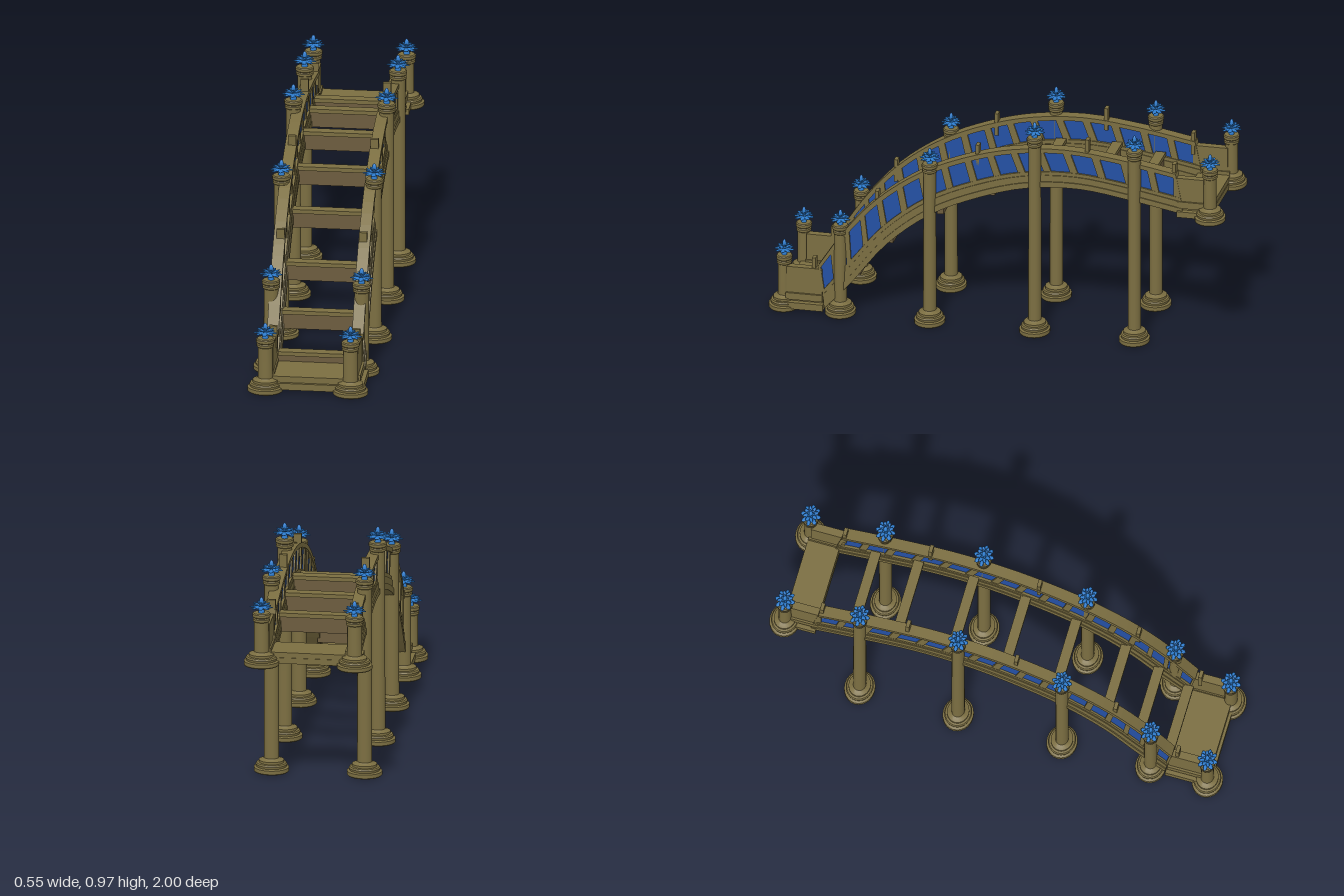
import * as THREE from 'three';
import { mergeGeometries, toCreasedNormals } from 'three/addons/utils/BufferGeometryUtils.js';

const mat = (name, color) => {
  const m = new THREE.MeshStandardMaterial({ color });
  m.name = name;
  return m;
};

// Matching top and bottom edges of the arched side walls, as [z, y]
const curve = pts => new THREE.CatmullRomCurve3(pts.map(([z, y]) => new THREE.Vector3(0, y, z)));
const topEdge = curve([[.78, .215], [.655, .40], [.515, .555], [.33, .69], [.13, .78], [-.07, .835], [-.30, .855], [-.555, .83], [-.785, .79]]);
const bottomEdge = curve([[.75, .025], [.64, .145], [.48, .345], [.29, .50], [.08, .60], [-.135, .665], [-.365, .682], [-.60, .65], [-.82, .61]]);
const wallPoint = (u, v) => bottomEdge.getPoint(u).lerp(topEdge.getPoint(u), v);

// Solid strip of the arch: u runs along it, v up it, x across it
function archStrip(u0, u1, v0, v1, x0, x1, steps) {
  const pos = [];
  const quad = (a, b, c, d) => [a, b, c, a, c, d].forEach(p => pos.push(p.x, p.y, p.z));
  const ring = i => {
    const u = u0 + (u1 - u0) * i / steps;
    return [[x0, v0], [x1, v0], [x1, v1], [x0, v1]].map(([x, v]) => wallPoint(u, v).setX(x));
  };
  let near = ring(0);
  quad(...near);
  for (let i = 1; i <= steps; i++) {
    const far = ring(i);
    for (let k = 0; k < 4; k++) {
      const n = (k + 1) % 4;
      quad(near[k], far[k], far[n], near[n]);
    }
    near = far;
  }
  quad(near[3], near[2], near[1], near[0]);
  const g = new THREE.BufferGeometry();
  g.setAttribute('position', new THREE.Float32BufferAttribute(pos, 3));
  g.computeVertexNormals();
  return g;
}

// Column with stepped base and collared cap
function columnGeometry(h) {
  const profile = [
    [0, 0], [.063, 0], [.066, .004], [.066, .02], [.057, .024], [.059, .034], [.055, .04],
    [.047, .042], [.047, .052], [.035, .056], [.028, .062],
    [.027, h - .04], [.032, h - .036], [.032, h - .026], [.028, h - .022],
    [.034, h - .016], [.034, h - .004], [.03, h], [0, h]
  ].map(p => new THREE.Vector2(...p));
  const g = toCreasedNormals(new THREE.LatheGeometry(profile, 24), .6);
  return g.scale(1.15, 1, 1);
}

// Flower: two rings of flat pointed petals around a bud
function flowerGeometry() {
  const parts = [];
  const petals = (count, length, y, tilt, turn) => {
    for (let i = 0; i < count; i++) {
      const p = new THREE.SphereGeometry(1, 6, 4);
      p.scale(length * .24, length / 2, .003).translate(0, length / 2, 0);
      p.rotateX(Math.PI / 2 - tilt).rotateY(turn + i * Math.PI * 2 / count).translate(0, y, 0);
      parts.push(p);
    }
  };
  petals(8, .045, .006, 0, 0);
  petals(8, .036, .012, .3, Math.PI / 8);
  petals(6, .024, .016, .7, 0);
  parts.push(new THREE.SphereGeometry(1, 8, 6).scale(.009, .021, .009).translate(0, .03, 0));
  parts.push(new THREE.CylinderGeometry(.009, .012, .026, 8).translate(0, -.006, 0));
  return mergeGeometries(parts).scale(1.15, 1, 1);
}

export function createModel() {
  const model = new THREE.Group();
  model.name = 'archedBridge';
  const stone = mat('olive stone', 0x7b6e41);
  const riser = mat('brown riser', 0x6c5c3e);
  const panelBlue = mat('deep blue panel', 0x2450a4);
  const flowerBlue = mat('flower blue', 0x2f7fd2);

  const add = (name, geometry, material, x = 0, y = 0, z = 0) => {
    const m = new THREE.Mesh(geometry, material);
    m.name = name;
    m.position.set(x, y, z);
    model.add(m);
    return m;
  };
  const box = (name, w, h, d, x, y, z, material = stone) =>
    add(name, new THREE.BoxGeometry(w, h, d), material, x, y, z);

  // Columns and flowers: [z, base y, top y, right x, left x]
  const flower = flowerGeometry();
  [
    [.935, 0, .24, -.197, .168],
    [.685, 0, .41, -.2, .188],
    [.292, 0, .735, -.2, .198],
    [-.168, 0, .90, -.2, .2],
    [-.604, 0, .88, -.2, .2],
    [-.935, .59, .825, -.2, .2]
  ].forEach(([z, base, top, xr, xl]) => {
    const g = columnGeometry(top - base);
    for (const x of [xr, xl]) {
      add('column', g, stone, x, base, z);
      add('flower', flower, flowerBlue, x, top + .018, z);
    }
  });

  // Arched side walls
  const PANELS = 16;
  for (const s of [-1, 1]) {
    const strip = (name, u0, u1, v0, v1, inner, outer, steps, material = stone) => {
      const [a, b] = s > 0 ? [inner, outer] : [-outer, -inner];
      add(name, archStrip(u0, u1, v0, v1, a, b, steps), material);
    };
    strip('lowerMoulding', 0, 1, 0, .14, .150, .212, 32);
    strip('stringer', 0, 1, .14, .30, .154, .207, 32);
    strip('upperMoulding', 0, 1, .30, .39, .158, .203, 32);
    strip('topRail', 0, 1, .89, 1, .157, .207, 32);
    for (let i = 0; i < PANELS; i++) {
      const u = i / PANELS, w = 1 / PANELS;
      strip('bluePanel', u + w * .14, u + w * .86, .39, .89, .169, .194, 2, panelBlue);
      strip('slat', u - (i ? w * .14 : 0), u + w * .14, .39, .89, .162, .202, 2);
    }
    strip('slat', 1 - .14 / PANELS, 1, .39, .89, .162, .202, 1);

    // Small posts standing on the rail
    for (const [z, y] of [[.80, .245], [.525, .58], [.085, .835], [-.395, .905], [-.775, .83]])
      box('railPost', .034, .10, .016, s * .177, y - .05, z);

    // Parapets beside the two landings
    box('frontParapet', .034, .155, .155, s * .182, .12, .84);
    box('frontParapetFoot', .05, .03, .16, s * .184, .065, .84);
    box('backParapet', .034, .15, .15, s * .183, .695, -.85);
    box('backParapetFoot', .05, .03, .15, s * .184, .65, -.86);
  }

  // Landings
  box('frontLanding', .45, .03, .20, 0, .028, .855);
  box('frontLandingFloor', .40, .03, .185, 0, .055, .85);
  box('backLanding', .45, .026, .145, 0, .613, -.867);
  box('backLandingFloor', .40, .026, .14, 0, .636, -.867);

  // Cross beams between the walls: [z, bottom y]
  for (const [z, y] of [[.75, .03], [.62, .168], [.475, .333], [.255, .487], [.03, .595], [-.2, .665], [-.445, .672], [-.635, .645]]) {
    box('beamRiser', .32, .07, .028, 0, y + .035, z, riser);
    box('beamTread', .32, .018, .044, 0, y + .076, z);
  }
  return model;
}
